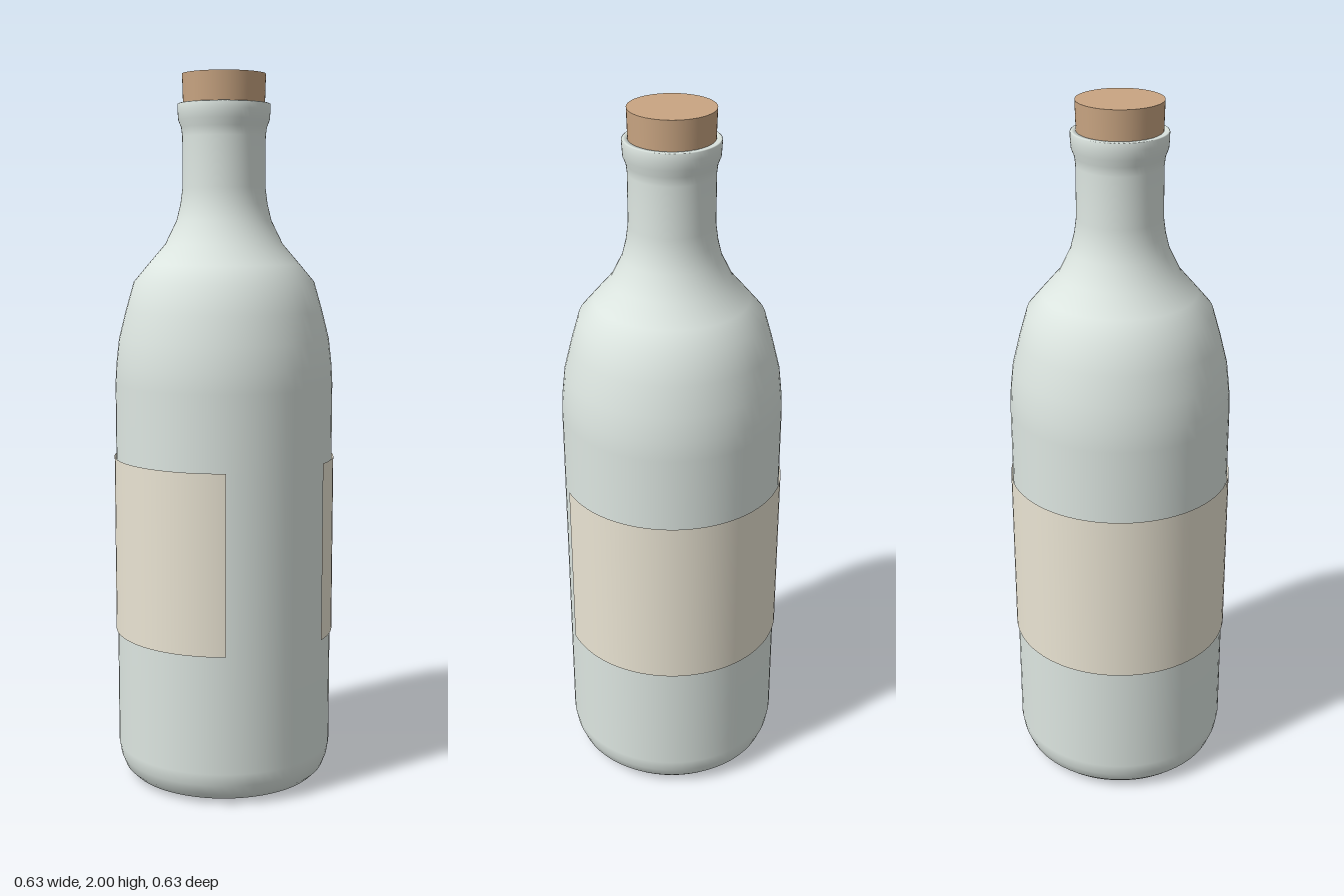
import * as THREE from 'three';

const SEGMENTS = 64;

function addPart(group, name, geometry, color, side = THREE.FrontSide) {
  const material = new THREE.MeshStandardMaterial({ color, side });
  const mesh = new THREE.Mesh(geometry, material);
  mesh.name = name;
  group.add(mesh);
  return mesh;
}

function lathe(profile) {
  return new THREE.LatheGeometry(profile.map(([r, y]) => new THREE.Vector2(r, y)), SEGMENTS);
}

export function createModel() {
  const group = new THREE.Group();
  group.name = 'corkedBottle';

  // Glass body: base, straight wall, shoulder, neck and flared lip
  addPart(group, 'bottle', lathe([
    [0, 0], [0.25, 0.003], [0.272, 0.012], [0.29, 0.03], [0.302, 0.06], [0.308, 0.095],
    [0.308, 1.145], [0.305, 1.2], [0.297, 1.27], [0.277, 1.35], [0.254, 1.43],
    [0.212, 1.48], [0.165, 1.535], [0.133, 1.6], [0.122, 1.645], [0.116, 1.69],
    [0.116, 1.83], [0.119, 1.855], [0.127, 1.875], [0.129, 1.9], [0.129, 1.918],
    [0.126, 1.92], [0.112, 1.92], [0.108, 1.9],
  ]), 0xdde6e1, THREE.DoubleSide);

  // Cork: pressed into the neck, standing just above the lip
  const cork = addPart(group, 'cork',
    new THREE.CylinderGeometry(0.116, 0.112, 0.14, SEGMENTS), 0xc9a582);
  cork.position.y = 1.93;

  // Paper label: wraps the body with an open gap at the front left
  const label = addPart(group, 'label',
    new THREE.CylinderGeometry(0.313, 0.313, 0.505, SEGMENTS, 1, true, Math.PI / 2, Math.PI * 5 / 3),
    0xeae4d3, THREE.DoubleSide);
  label.position.y = 0.683;

  return group;
}
